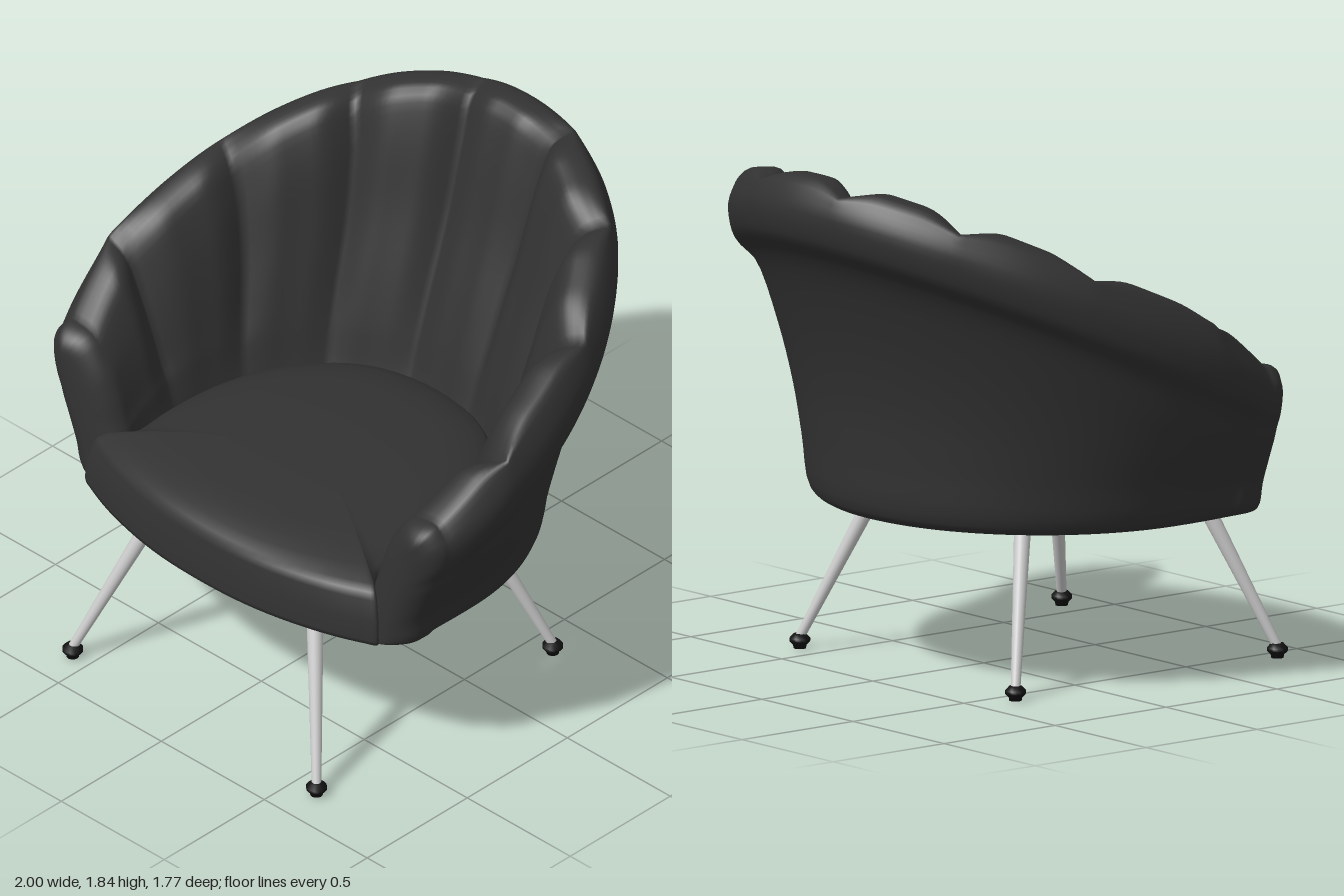
import * as THREE from 'three';

const fabric = new THREE.MeshStandardMaterial({ color: 0x323232, side: THREE.DoubleSide });
const rubber = new THREE.MeshStandardMaterial({ color: 0x111111 });
const metal = new THREE.MeshStandardMaterial({ color: 0xcccccc });
const { lerp, smoothstep } = THREE.MathUtils;

// Skin a list of equally long closed rings (arrays of Vector3)
function skin(rings) {
  const n = rings[0].length, pos = [], idx = [];
  rings.forEach(r => r.forEach(p => pos.push(p.x, p.y, p.z)));
  for (let i = 0; i < rings.length - 1; i++) {
    for (let j = 0; j < n; j++) {
      const k = (j + 1) % n, a = i * n + j, b = i * n + k;
      idx.push(a, b, a + n, a + n, b, b + n);
    }
  }
  const g = new THREE.BufferGeometry();
  g.setAttribute('position', new THREE.Float32BufferAttribute(pos, 3));
  g.setIndex(idx);
  g.computeVertexNormals();
  return g;
}

function add(group, name, geometry, material) {
  const m = new THREE.Mesh(geometry, material);
  m.name = name;
  group.add(m);
  return m;
}

// Shell profiles: [outward, height], from outer base over the rolled rim to inner base
const BACK = [[.5, .575], [.55, .61], [.57, .8], [.592, 1], [.66, 1.27], [.77, 1.53], [.86, 1.61], [.887, 1.7],
  [.865, 1.79], [.79, 1.84], [.71, 1.81], [.66, 1.68], [.58, 1.4], [.48, 1.1], [.405, .83], [.38, .6]];
const SIDE = [[.76, .575], [.8, .6], [.84, .72], [.88, .82], [.92, .93], [.95, 1.03], [.99, 1.1], [1, 1.19],
  [.97, 1.3], [.9, 1.35], [.82, 1.31], [.76, 1.19], [.71, 1.05], [.675, .92], [.65, .82], [.64, .6]];
const FRONT = [[.73, .575], [.79, .595], [.81, .69], [.84, .77], [.872, .85], [.9, .91], [.935, .97], [.945, 1.04],
  [.92, 1.1], [.85, 1.13], [.76, 1.1], [.7, 1.02], [.66, .93], [.63, .83], [.61, .76], [.61, .6]];
// How strongly each profile row is pinched at the channel seams
const PINCH = [0, 0, 0, 0, 0, 0, 0, 0, .2, .8, 1, 1, .85, .65, .35, 0];

function sampleProfile(points) {
  const curve = new THREE.CatmullRomCurve3(points.map((p, i) => new THREE.Vector3(p[0], p[1], PINCH[i])), true);
  return Array.from({ length: 64 }, (_, i) => curve.getPoint(i / 64));
}

function shellGeometry() {
  const [back, side, front] = [BACK, SIDE, FRONT].map(sampleProfile);
  const STEP = .455 / 18, LAST = 78, Q = Math.PI / 2, T = LAST * STEP;
  const half = [];
  for (let i = 0; i <= LAST; i++) {
    const t = i * STEP, s = Math.max(0, (t - Q) / (T - Q));
    // broad flat-topped channels with narrow valleys between them
    const fromSeam = i > 72 ? .5 : .5 - Math.abs(((i + 9) % 18) / 18 - .5);
    const pinch = .07 * (1 - Math.sin(Q * Math.min(1, fromSeam / .36)));
    half.push(side.map((sp, j) => {
      const w = Math.max(0, sp.z) * pinch, bp = back[j], fp = front[j];
      if (t < Q) {
        const c = Math.cos(t);
        return new THREE.Vector3((sp.x + w * .75) * Math.sin(t),
          lerp(sp.y, bp.y, c) - w * .75, .25 - (.25 + bp.x + w * .75) * c);
      }
      // arms run straight forward; a padded roll turns down their front edge
      const lip = .02 * smoothstep(s, .7, .9) * smoothstep(j, 2, 6) * (1 - smoothstep(j, 16, 25));
      return new THREE.Vector3(lerp(sp.x, fp.x, s * s) + w * .75 + lip,
        lerp(sp.y, fp.y, s) - w * .75, .25 + .28 * s);
    }));
  }
  // softly domed front end, narrowing towards the leaning midline of the arm
  const end = half[half.length - 1];
  for (let k = 1; k <= 14; k++) {
    const a = k / 14 * Q, c = Math.cos(a);
    half.push(end.map(p => {
      const mid = .7 + (p.y - .6) * .28, height = p.y - .6;
      const drop = .09 * (1 - c) * smoothstep(height, 0, .5);
      return new THREE.Vector3(mid + (p.x - mid) * c, p.y - drop, .53 + .1 * Math.sin(a));
    }));
  }
  const mirrored = half.slice(1).reverse().map(r => r.map(p => new THREE.Vector3(-p.x, p.y, p.z)));
  return skin([...mirrored, ...half]);
}

// Domed seat cushion: its plan outline stacked in layers of [scale, height]
function seatGeometry() {
  const right = [[.3, -.34], [.5, -.13], [.59, .1], [.62, .35], [.62, .54], [.67, .61], [.705, .645], [.66, .67],
    [.5, .73], [.25, .785]];
  const pts = [[0, -.41], ...right, [0, .8], ...right.slice().reverse().map(([x, z]) => [-x, z])];
  const curve = new THREE.CatmullRomCurve3(pts.map(([x, z]) => new THREE.Vector3(x, 0, z - .2)), true);
  const outline = Array.from({ length: 110 }, (_, i) => curve.getPoint(i / 110));
  const layers = [[0, .575], [.6, .575], [.98, .575], [1.003, .583], [1.008, .6], [1, .68], [.985, .755], [.973, .78],
    [.95, .797], [.88, .816], [.8, .83], [.7, .842], [.45, .855], [.2, .86], [0, .86]];
  // inner layers relax towards a circle so the crown stays smooth
  return skin(layers.map(([f, y]) => outline.map(p => {
    const q = p.clone().setLength(.6).lerp(p, Math.min(1, f ** 3)).multiplyScalar(f);
    return new THREE.Vector3(q.x, y, q.z + .2);
  })));
}

// Round bar between two points
function bar(a, b, ra, rb) {
  const d = b.clone().sub(a);
  const g = new THREE.CylinderGeometry(rb, ra, d.length(), 20);
  g.applyQuaternion(new THREE.Quaternion().setFromUnitVectors(new THREE.Vector3(0, 1, 0), d.normalize()));
  const c = a.clone().add(b).multiplyScalar(.5);
  return g.translate(c.x, c.y, c.z);
}

export function createModel() {
  const model = new THREE.Group();
  add(model, 'channelledShell', shellGeometry(), fabric);
  add(model, 'seatCushion', seatGeometry(), fabric);

  // Square steel frame with splayed tapered legs
  const base = new THREE.Group();
  base.name = 'base';
  base.position.x = .016;
  model.add(base);
  const corners = [[1, 1], [-1, 1], [-1, -1], [1, -1]];
  const top = ([sx, sz]) => new THREE.Vector3(.4 * sx, .555, .26 + .4 * sz);
  const footProfile = [[0, 0], [.022, 0], [.024, .012], [.037, .025], [.037, .036], [.022, .052], [0, .052]]
    .map(([x, y]) => new THREE.Vector2(x, y));
  corners.forEach((c, i) => {
    const a = top(c), foot = new THREE.Vector3(.592 * c[0], .04, .26 + .59 * c[1]);
    add(base, 'frameRail', bar(a, top(corners[(i + 1) % 4]), .02, .02), metal);
    add(base, 'leg', bar(foot, a.clone().setY(.57), .017, .03), metal);
    add(base, 'footGlide', new THREE.LatheGeometry(footProfile, 12), rubber).position.set(foot.x, 0, foot.z);
  });
  return model;
}
